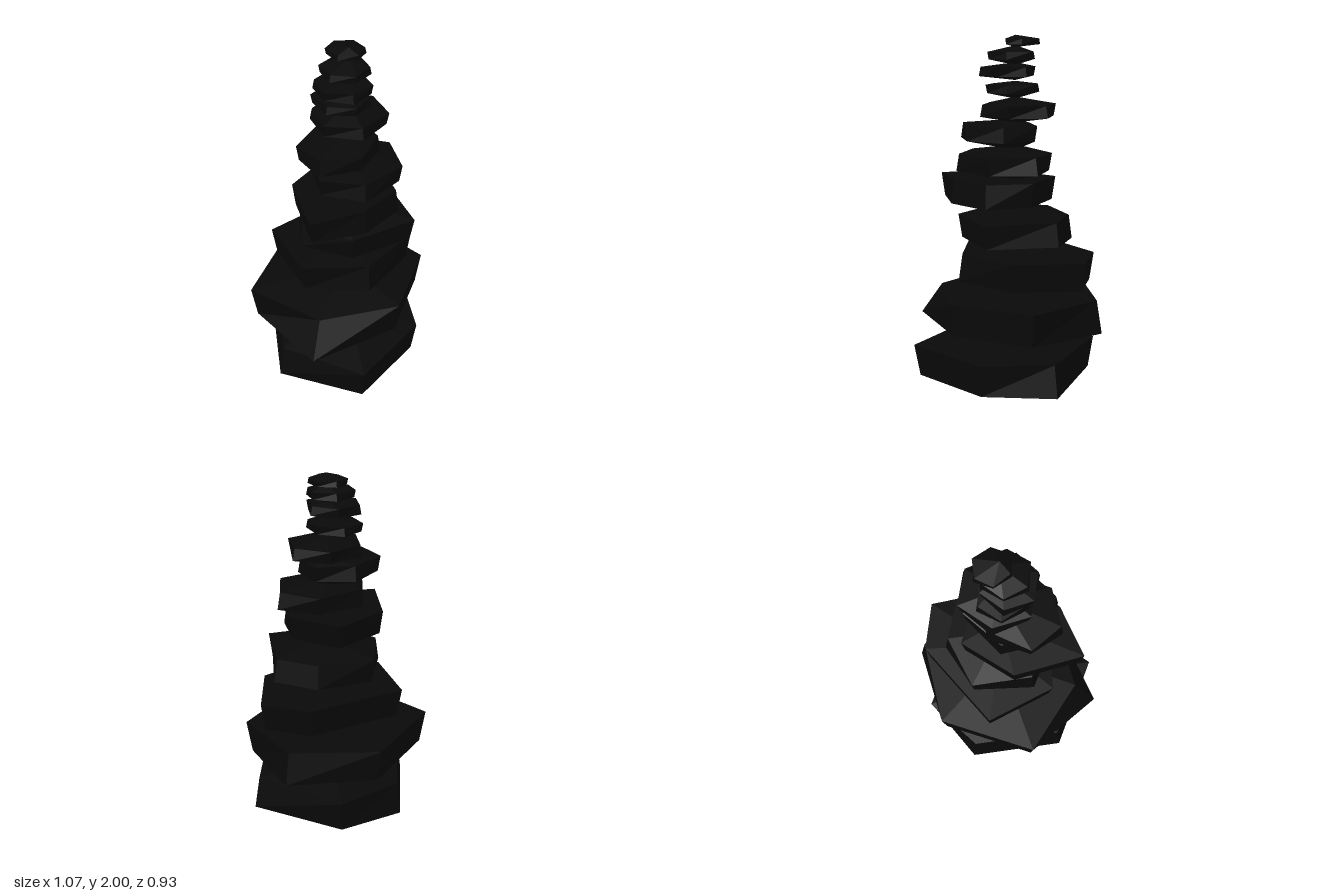
import * as THREE from 'three';

// Heights y: bottom point, lower rim, upper rim, top point.
// Lean, one letter per corner: H juts out at the upper rim, L at the lower, S is a low spike.

// Big lower stones with uneven outlines, corners [x, z]
const BIG_STONES = [
  { y: [0, 0.09, 0.27, 0.33], lean: 'LHLLHH', rim: [
    [0.475, 0.18], [0.285, -0.36], [-0.1, -0.43], [-0.49, -0.05], [-0.36, 0.455], [0.165, 0.46]] },
  { y: [0.31, 0.385, 0.57, 0.62], lean: 'LHHSHH', rim: [
    [0.51, -0.15], [0.1, -0.465], [-0.44, -0.29], [-0.535, 0.235], [-0.05, 0.467], [0.42, 0.31]] },
  { y: [0.61, 0.66, 0.815, 0.84], lean: 'HHHHLH', rim: [
    [0.53, 0.025], [0.39, -0.22], [-0.17, -0.35], [-0.35, 0.02], [-0.13, 0.32], [0.27, 0.32]] },
  { y: [0.83, 0.89, 1.02, 1.08], lean: 'LLHLHH', rim: [
    [0.39, 0.08], [0.28, -0.16], [-0.01, -0.29], [-0.27, -0.06], [-0.2, 0.25], [0.16, 0.41]] },
  { y: [1.06, 1.09, 1.22, 1.235], lean: 'HHHHLL', rim: [
    [0.24, 0.12], [0.14, -0.18], [-0.2, -0.16], [-0.44, 0.15], [-0.18, 0.32], [0.1, 0.34]] },
];

// Small upper stones, regular hexagons: min x, max x, min z, max z, turn in degrees
const SMALL_STONES = [
  { y: [1.22, 1.27, 1.365, 1.41], fit: [-0.26, 0.3, -0.12, 0.34, 51] },
  { y: [1.38, 1.43, 1.515, 1.55], fit: [-0.31, 0.165, -0.14, 0.26, 16] },
  { y: [1.53, 1.565, 1.63, 1.67], fit: [-0.165, 0.275, -0.15, 0.22, 58] },
  { y: [1.66, 1.69, 1.735, 1.755], fit: [-0.145, 0.145, -0.13, 0.17, 5] },
  { y: [1.76, 1.78, 1.83, 1.855], fit: [-0.17, 0.135, -0.1, 0.19, 56] },
  { y: [1.84, 1.87, 1.91, 1.945], fit: [-0.13, 0.145, -0.08, 0.16, 2] },
  { y: [1.935, 1.95, 1.98, 2], fit: [-0.04, 0.16, -0.1, 0.11, 12] },
];
const SIDES = 6;
const UPPER_SCALE = { H: 1, L: 0.94, S: 0.77 };
const LOWER_SCALE = { H: 0.94, L: 1, S: 1 };

// Turned hexagon filling the given extents
function hexagon([minX, maxX, minZ, maxZ, turn]) {
  const dirs = Array.from({ length: SIDES }, (_, i) => {
    const a = THREE.MathUtils.degToRad(turn) + (i * Math.PI * 2) / SIDES;
    return [Math.cos(a), -Math.sin(a)];
  });
  const reach = [0, 1].map((k) => Math.max(...dirs.map((d) => Math.abs(d[k]))));
  return dirs.map(([x, z]) => [
    (minX + maxX + (x / reach[0]) * (maxX - minX)) / 2,
    (minZ + maxZ + (z / reach[1]) * (maxZ - minZ)) / 2,
  ]);
}

// Faceted slab with a shallow point above and below
function stoneGeometry([y0, y1, y2, y3], rim, lean) {
  const [cx, cz] = [0, 1].map((k) => rim.reduce((sum, p) => sum + p[k], 0) / SIDES);
  const ring = (y, scales) => rim.map(([x, z], i) => {
    const s = scales[lean[i]];
    return [cx + (x - cx) * s, y, cz + (z - cz) * s];
  });
  const lower = ring(y1, LOWER_SCALE);
  const upper = ring(y2, UPPER_SCALE);
  const bottom = [0.045, y0, 0.05];
  const top = [0.04, y3, 0.04];
  const v = [];
  for (let i = 0; i < SIDES; i++) {
    const j = (i + 1) % SIDES;
    v.push(top, upper[i], upper[j], bottom, lower[j], lower[i]);
    v.push(lower[i], lower[j], upper[j], lower[i], upper[j], upper[i]);
  }
  const geometry = new THREE.BufferGeometry();
  geometry.setAttribute('position', new THREE.Float32BufferAttribute(v.flat(), 3));
  geometry.computeVertexNormals();
  return geometry;
}

export function createModel() {
  const group = new THREE.Group();
  group.name = 'stoneStack';
  const black = new THREE.MeshStandardMaterial({ color: 0x090909, flatShading: true });
  black.name = 'blackStone';
  const addStone = (name, geometry) => {
    const mesh = new THREE.Mesh(geometry, black);
    mesh.name = name;
    group.add(mesh);
  };
  BIG_STONES.forEach(({ y, rim, lean }, i) => {
    addStone(`bigStone${i + 1}`, stoneGeometry(y, rim, lean));
  });
  SMALL_STONES.forEach(({ y, fit }, i) => {
    addStone(`smallStone${i + 1}`, stoneGeometry(y, hexagon(fit), 'HLHLHL'));
  });
  return group;
}
